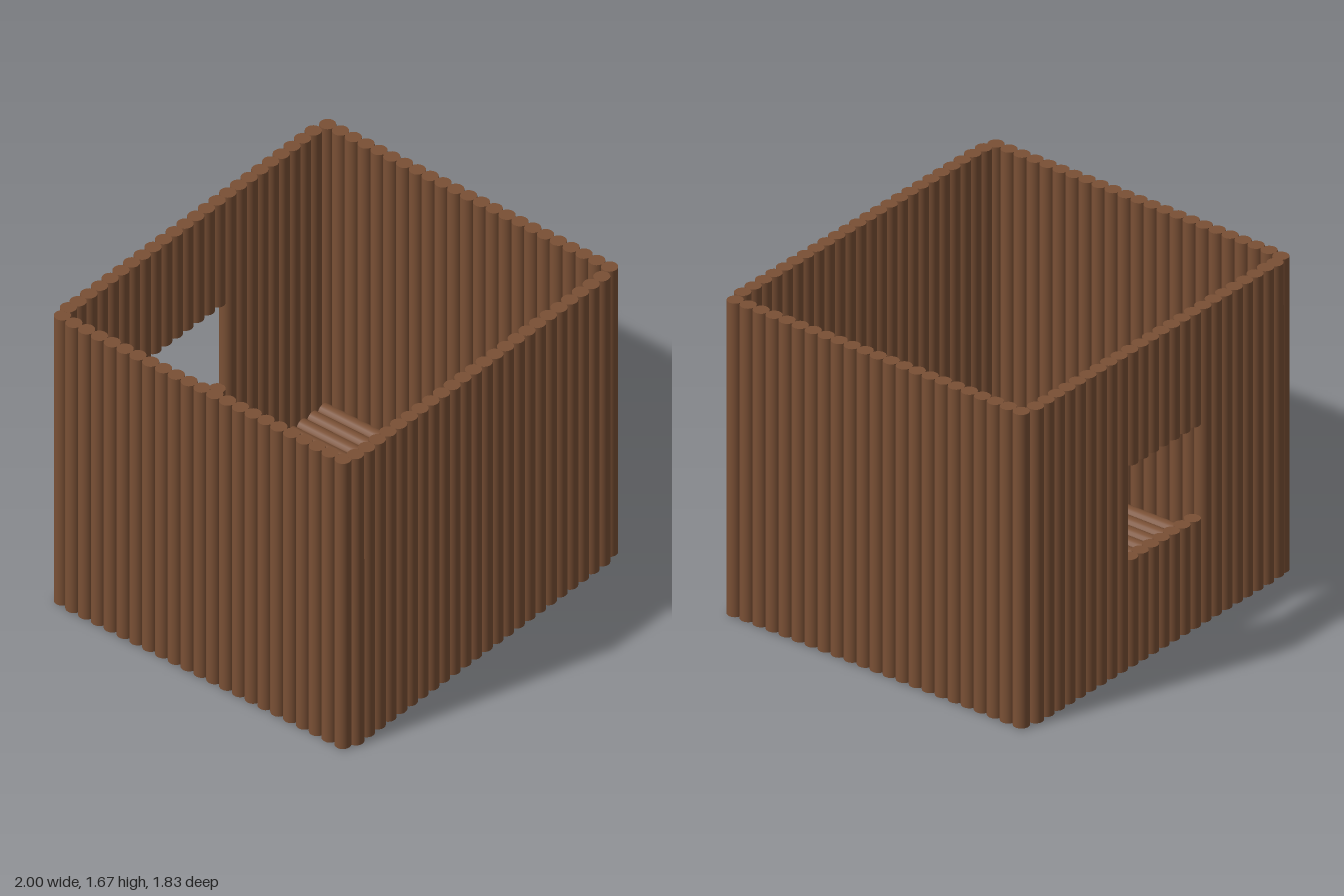
import * as THREE from 'three';

const R = 0.04;        // log radius
const PITCH = 0.0773;  // spacing between neighbouring logs
const BASE = 0.005;    // foot of the wall logs
const TOP = 1.665;     // top of the wall logs
const SILL = 0.57;     // window opening
const LINTEL = 1.07;

export function createModel() {
  const model = new THREE.Group();
  model.name = 'logRoom';
  const wood = new THREE.MeshStandardMaterial({ color: 0x7a5035 });
  wood.name = 'brown wood';

  const part = (name) => {
    const group = new THREE.Group();
    group.name = name;
    model.add(group);
    return group;
  };

  // A round log between two points
  const up = new THREE.Vector3(0, 1, 0);
  const log = (group, name, from, to) => {
    const a = new THREE.Vector3(...from);
    const b = new THREE.Vector3(...to);
    const axis = b.clone().sub(a);
    const mesh = new THREE.Mesh(new THREE.CylinderGeometry(R, R, axis.length(), 20), wood);
    mesh.name = name;
    mesh.position.copy(a).add(b).multiplyScalar(0.5);
    mesh.quaternion.setFromUnitVectors(up, axis.normalize());
    group.add(mesh);
  };
  const post = (group, x, z, y0 = BASE, y1 = TOP) =>
    log(group, 'wallLog', [x, y0, z], [x, y1, z]);

  // Floor logs running front to back
  const floor = part('floor');
  for (let i = 0; i < 24; i++) {
    const x = -0.875 + i * PITCH;
    log(floor, 'floorLog', [x, R, -0.83], [x, R, 0.83]);
  }

  // Side walls
  const leftWall = part('leftWall');
  const rightWall = part('rightWall');
  for (let i = 0; i < 23; i++) {
    post(leftWall, 0.96, -0.85 + i * PITCH);
    post(rightWall, i === 0 ? -0.95 : -0.96, -0.857 + i * PITCH);
  }

  // Front wall, and back wall with the window cut through seven logs
  const frontWall = part('frontWall');
  const backWall = part('backWall');
  for (let i = 0; i < 23; i++) {
    const x = 0.88 - i * PITCH;
    post(frontWall, x, 0.87);
    if (i >= 9 && i <= 15) {
      post(backWall, x, -0.87, BASE, SILL);
      post(backWall, x, -0.87, LINTEL, TOP);
    } else {
      post(backWall, x, -0.87);
    }
  }

  // Slightly leaning logs closing the right-hand corners
  log(frontWall, 'cornerLog', [-0.9, BASE, 0.872], [-0.895, TOP, 0.865]);
  log(backWall, 'cornerLog', [-0.9, BASE, -0.865], [-0.885, TOP, -0.875]);

  return model;
}
